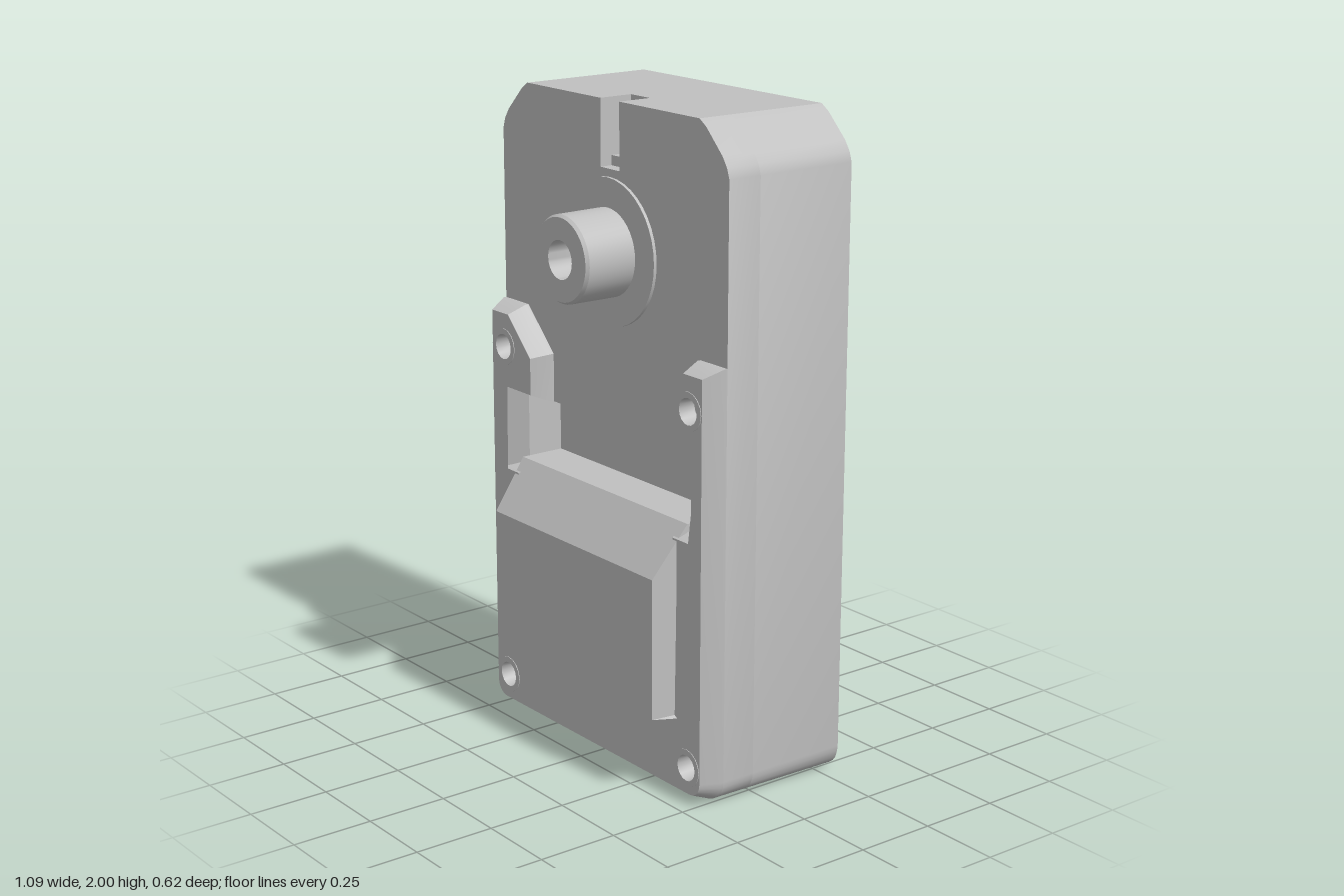
import * as THREE from 'three';
import { toCreasedNormals } from 'three/addons/utils/BufferGeometryUtils.js';

const grey = new THREE.MeshStandardMaterial({ color: 0xc0c0c0 });
grey.name = 'plain grey';

// Moves every vertex of a geometry by a rule
function warp(geometry, rule) {
  const p = geometry.attributes.position;
  const v = new THREE.Vector3();
  for (let i = 0; i < p.count; i++) {
    v.fromBufferAttribute(p, i);
    rule(v);
    p.setXYZ(i, v.x, v.y, v.z);
  }
  geometry.computeVertexNormals();
  return geometry;
}

// Closed shape from its right half, listed from bottom to top
function mirroredShape(half) {
  const left = half.map(([x, y]) => [-x, y]).reverse();
  return new THREE.Shape([...half, ...left].map(([x, y]) => new THREE.Vector2(x, y)));
}

// Rounded bottom corner of the case
const bottomCorner = [];
for (let i = 0; i <= 6; i++) {
  const a = -Math.PI / 2 + (i / 6) * Math.PI / 2;
  bottomCorner.push([0.47 + 0.07 * Math.cos(a), 0.075 + 0.07 * Math.sin(a)]);
}
const caseHalf = [...bottomCorner, [0.54, 1.85], [0.53, 1.88], [0.51, 1.91], [0.44, 1.98], [0.41, 2]];

export function createModel() {
  const model = new THREE.Group();

  function add(name, geometry, x = 0, y = 0, z = 0) {
    const mesh = new THREE.Mesh(toCreasedNormals(geometry, 0.5), grey);
    mesh.name = name;
    mesh.position.set(x, y, z);
    model.add(mesh);
    return mesh;
  }

  // Case: widens slightly towards the back
  function caseLayer(name, shape, z0, z1) {
    const g = new THREE.ExtrudeGeometry(shape, { depth: z1 - z0, bevelEnabled: false });
    g.translate(0, 0, z0);
    add(name, warp(g, (v) => {
      const back = (0.13 - v.z) / 0.44;
      v.x *= 1 + 0.009 * back;
      if (v.y < 0.04) v.y -= 0.005 * back;
    }));
  }
  caseLayer('caseBack', mirroredShape(caseHalf), -0.31, 0.02);

  // Front of the case, with the top slot and the pocket cut through
  const front = mirroredShape([...caseHalf, [0.045, 2], [0.045, 1.8]]);
  front.holes.push(new THREE.Path([
    [-0.41, 0.8], [-0.41, 1.04], [0.41, 1.04], [0.41, 0.8],
  ].map(([x, y]) => new THREE.Vector2(x, y))));
  caseLayer('caseFront', front, 0.02, 0.13);

  // Steps inside the top slot
  add('slotStepLow', new THREE.BoxGeometry(0.09, 0.03, 0.07), 0, 1.815, 0.055);
  add('slotStepHigh', new THREE.BoxGeometry(0.09, 0.12, 0.04), 0, 1.86, 0.04);

  // Raised lower plate with two ears, bevelled edges and screw openings
  const plate = mirroredShape([
    ...bottomCorner, [0.54, 1.32], [0.42, 1.32], [0.29, 1.19], [0.29, 1.04],
    [0.41, 1.04], [0.41, 0.825], [0.36, 0.825], [0.36, 0.3],
  ]);
  const screws = [];
  for (const x of [-0.455, 0.455]) for (const y of [0.11, 1.19]) screws.push([x, y]);
  for (const [x, y] of screws) {
    plate.holes.push(new THREE.Path().absarc(x, y, 0.03, 0, Math.PI * 2, true));
  }
  const plateGeometry = new THREE.ExtrudeGeometry(plate, {
    depth: 0.02, bevelThickness: 0.06, bevelSize: 0.025, bevelOffset: -0.025,
    bevelSegments: 1, curveSegments: 10,
  });
  plateGeometry.translate(0, 0, 0.12);
  // Widen the sloping sides of the pocket
  add('lowerPlate', warp(plateGeometry, (v) => {
    const ax = Math.abs(v.x);
    if (v.z > 0.19 && v.y > 0.75 && v.y < 1.09 && ax > 0.42 && ax < 0.45) {
      v.x = Math.sign(v.x) * 0.47;
    }
  }));

  // Screw bosses with blind holes
  const bossProfile = [[0.058, 0.12], [0.058, 0.202], [0.04, 0.202], [0.035, 0.15], [0, 0.15]];
  for (const [x, y] of screws) {
    const g = new THREE.LatheGeometry(bossProfile.map(([r, h]) => new THREE.Vector2(r, h)), 16);
    add('screwBoss', g.rotateX(Math.PI / 2), x, y, 0);
  }

  // Cover block with a sloping top, tapering towards its face
  const coverSide = new THREE.Shape([
    [0.01, 0.25], [0.2, 0.25], [0.28, 0.26], [0.28, 0.69], [0.165, 0.84], [0.01, 0.84],
  ].map(([z, y]) => new THREE.Vector2(z, y)));
  const cover = new THREE.ExtrudeGeometry(coverSide, { depth: 0.82, bevelEnabled: false });
  cover.rotateY(-Math.PI / 2).translate(0.41, 0, 0);
  add('cover', warp(cover, (v) => { if (v.z > 0.27) v.x *= 0.96; }));

  // Knob on a thin round base, with a bore in the middle
  const knobProfile = [
    [0.22, 0.125], [0.22, 0.14], [0.132, 0.14], [0.131, 0.3], [0.124, 0.31],
    [0.058, 0.31], [0.058, 0.2], [0, 0.2],
  ];
  const knob = new THREE.LatheGeometry(knobProfile.map(([r, h]) => new THREE.Vector2(r, h)), 40);
  add('knob', knob.rotateX(Math.PI / 2), 0, 1.557, 0);

  return model;
}
